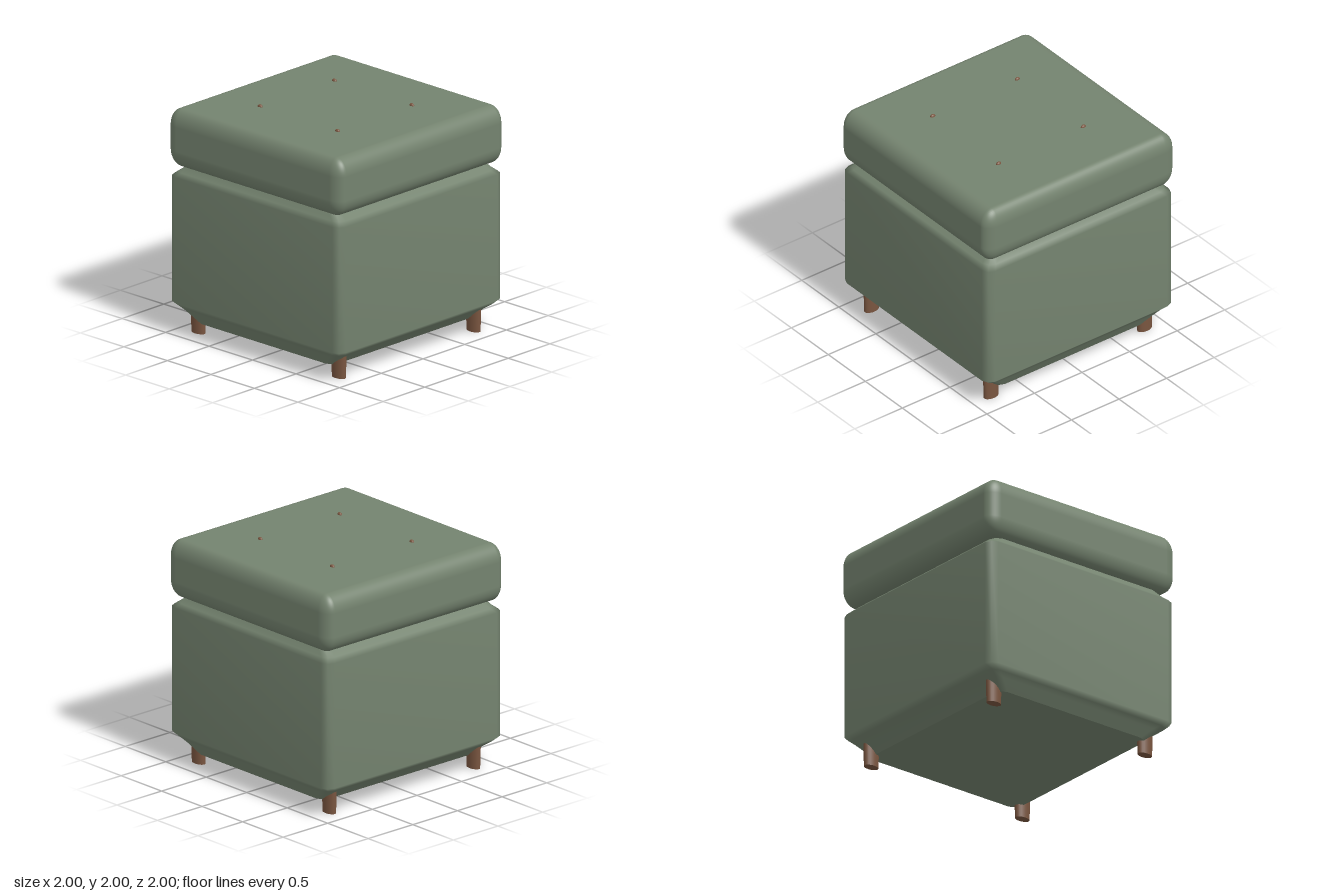
import * as THREE from 'three';
import { RoundedBoxGeometry } from 'three/addons/geometries/RoundedBoxGeometry.js';

const fabric = new THREE.MeshStandardMaterial({ color: 0x74836f });
const wood = new THREE.MeshStandardMaterial({ color: 0x7a5640 });

// Plan outline of the base: a rectangle with softened corners
function ring([y, hx, hz], c) {
  const corner = [[hx, hz - c], [hx - 0.3 * c, hz - 0.3 * c], [hx - c, hz]];
  const points = [];
  [[1, 1], [-1, 1], [-1, -1], [1, -1]].forEach(([sx, sz], q) => {
    const pts = q % 2 ? [...corner].reverse() : corner;
    pts.forEach(([x, z]) => points.push([sx * x, y, sz * z]));
  });
  return points;
}

// Skin through stacked outlines, with separate flat caps
function loft(rings) {
  const n = rings[0].length, last = rings.length - 1;
  const pos = rings.flat(2), index = [];
  for (let j = 0; j < last; j++) {
    for (let i = 0; i < n; i++) {
      const k = (i + 1) % n;
      const a = j * n + i, b = j * n + k, c = b + n, d = a + n;
      index.push(a, d, c, a, c, b);
    }
  }
  const bottom = pos.length / 3, top = bottom + n;
  pos.push(...rings[0].flat(), ...rings[last].flat());
  for (let i = 1; i < n - 1; i++) {
    index.push(bottom, bottom + i, bottom + i + 1, top, top + i + 1, top + i);
  }
  const geo = new THREE.BufferGeometry();
  geo.setAttribute('position', new THREE.Float32BufferAttribute(pos, 3));
  geo.setIndex(index);
  geo.computeVertexNormals();
  return geo;
}

export function createModel() {
  const model = new THREE.Group();
  model.name = 'footstool';
  const add = (name, geometry, material, x, y, z) => {
    const mesh = new THREE.Mesh(geometry, material);
    mesh.name = name;
    mesh.position.set(x, y, z);
    model.add(mesh);
    return mesh;
  };

  // Upholstered base: height, half width, half depth
  const profile = [
    [0.11, 0.87, 0.79], [0.2, 0.925, 0.885], [0.24, 0.95, 0.945], [0.28, 0.99, 0.985],
    [1.385, 0.99, 0.985], [1.42, 0.95, 0.945], [1.47, 0.92, 0.88],
  ];
  add('base', loft(profile.map((p) => ring(p, 0.08))), fabric, 0, 0, 0);

  // Seat cushion, with a different edge radius along each axis
  const r = [0.09, 0.15, 0.12];
  const cushion = new RoundedBoxGeometry(2 / r[0], 0.51 / r[1], 2 / r[2], 6, 1);
  cushion.scale(...r);
  add('cushion', cushion, fabric, 0, 1.725, 0);

  // Oval tapered legs and tufting buttons
  const leg = new THREE.CylinderGeometry(1.12, 1, 0.25, 24);
  leg.scale(0.042, 1, 0.07);
  const button = new THREE.SphereGeometry(1, 16, 12);
  button.scale(0.016, 0.022, 0.025);
  for (const sx of [-1, 1]) {
    for (const sz of [-1, 1]) {
      add('leg', leg, wood, sx * 0.807, 0.125, sz * 0.807);
      add('button', button, wood, sx * 0.445, 1.978, sz * 0.445);
    }
  }
  return model;
}
